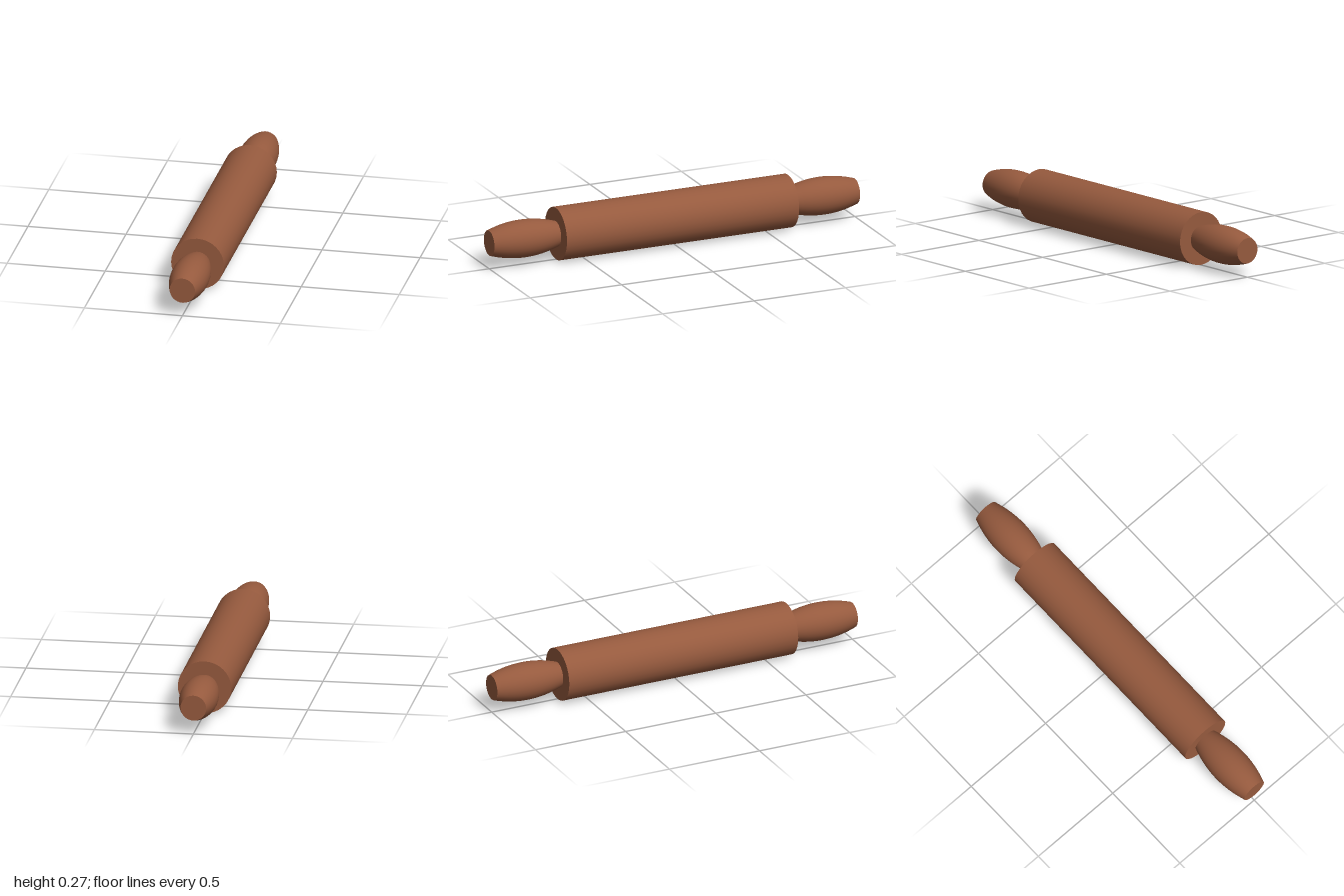
import * as THREE from 'three';

const SIDES = 32;
const AXIS_Y = 0.135;
const BODY_HALF = 0.635;

export function createModel() {
  const group = new THREE.Group();
  group.name = 'rollingPin';
  const wood = new THREE.MeshStandardMaterial({ color: 0x965a3e });
  wood.name = 'brown wood';

  // Main roller, lying along z
  const roller = new THREE.Mesh(
    new THREE.CylinderGeometry(0.135, 0.135, BODY_HALF * 2, SIDES).rotateX(Math.PI / 2), wood);
  roller.name = 'roller';
  roller.position.y = AXIS_Y;
  group.add(roller);

  // Barrel-shaped handle profile: narrow at both ends, widest in the middle
  const profile = [];
  const steps = 16;
  for (let i = 0; i <= steps; i++) {
    const t = i / steps;
    const radius = 0.065 + 0.0305 * 4 * t * (1 - t);
    profile.push(new THREE.Vector2(radius, BODY_HALF + (1 - BODY_HALF) * t));
  }
  const gripGeometry = new THREE.LatheGeometry(profile, SIDES).rotateX(Math.PI / 2);
  const capGeometry = new THREE.CircleGeometry(0.065, SIDES, Math.PI / 2);

  // One handle at each end
  for (const [name, turn] of [['frontHandle', 0], ['backHandle', Math.PI]]) {
    const handle = new THREE.Group();
    handle.name = name;
    const grip = new THREE.Mesh(gripGeometry, wood);
    grip.name = 'grip';
    const cap = new THREE.Mesh(capGeometry, wood);
    cap.name = 'endFace';
    cap.position.z = 1;
    handle.add(grip, cap);
    handle.position.y = AXIS_Y;
    handle.rotation.y = turn;
    group.add(handle);
  }
  return group;
}
